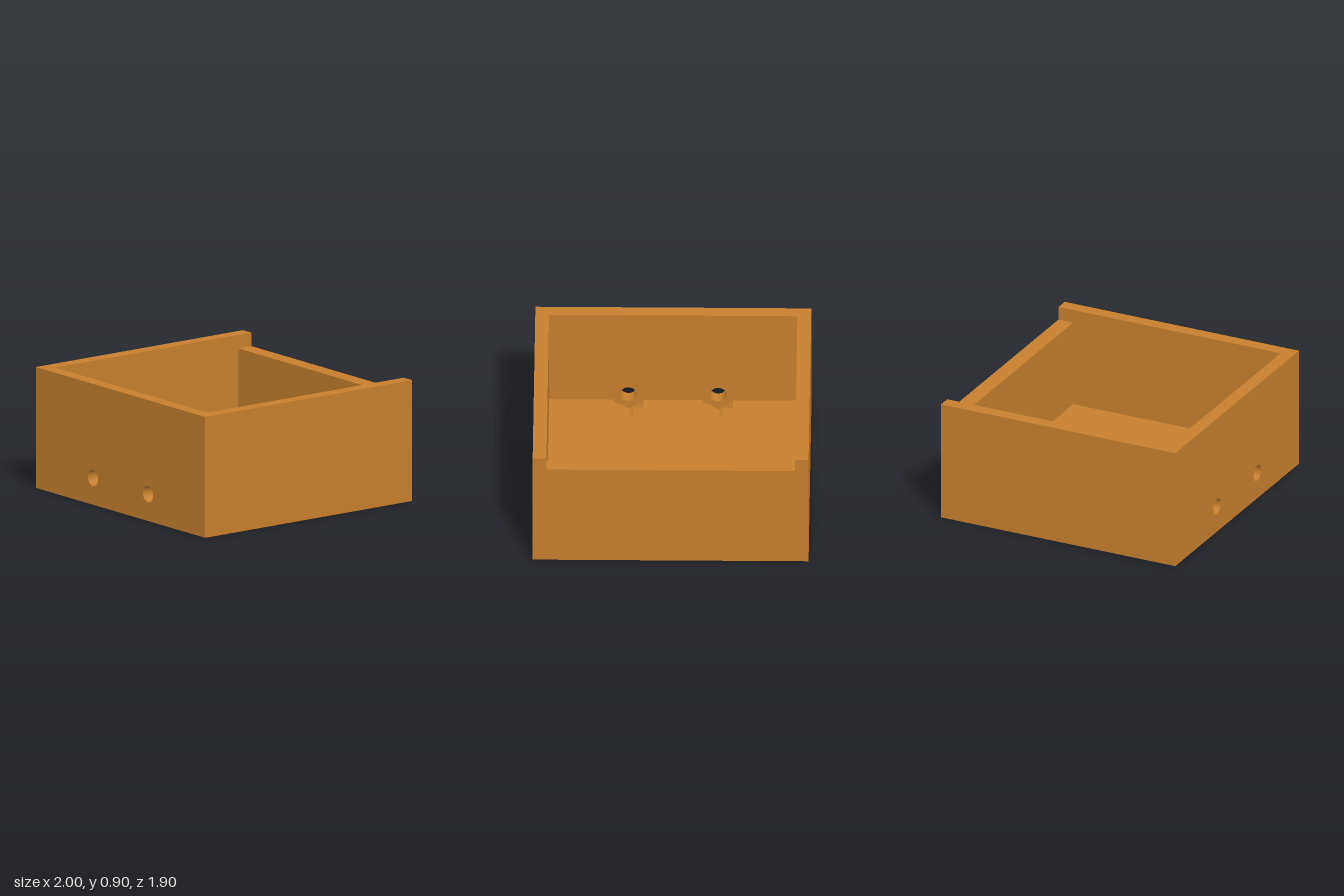
import * as THREE from 'three';

const HOLE_X = [-0.325, 0.325]; // screw positions
const HOLE_Y = 0.2, HOLE_R = 0.06, NUT_HALF = 0.11;
const FLOOR = 0.15, INNER = 0.9;

export function createModel() {
  const group = new THREE.Group();
  const wood = new THREE.MeshStandardMaterial({ color: 0xc67e2d });
  wood.name = 'orange brown';

  const add = (name, geometry) => {
    const mesh = new THREE.Mesh(geometry, wood);
    mesh.name = name;
    group.add(mesh);
  };
  const box = (name, x0, x1, y0, y1, z0, z1) => add(name,
    new THREE.BoxGeometry(x1 - x0, y1 - y0, z1 - z0)
      .translate((x0 + x1) / 2, (y0 + y1) / 2, (z0 + z1) / 2));
  const extrude = (name, shape, z0, z1) => add(name,
    new THREE.ExtrudeGeometry(shape, { depth: z1 - z0, bevelEnabled: false, curveSegments: 32 })
      .translate(0, 0, z0));

  // Side walls, and the lower back wall between them
  box('leftWall', INNER, 1, 0, 0.9, -0.95, 0.95);
  box('rightWall', -1, -INNER, 0, 0.9, -0.95, 0.95);
  box('backWall', -INNER, INNER, 0, 0.8, -0.95, -0.83);

  // Front wall with two round screw holes
  const front = new THREE.Shape();
  front.moveTo(-INNER, 0).lineTo(INNER, 0).lineTo(INNER, 0.9).lineTo(-INNER, 0.9).closePath();
  for (const x of HOLE_X) {
    front.holes.push(new THREE.Path().absarc(x, HOLE_Y, HOLE_R, 0, Math.PI * 2, true));
  }
  extrude('frontWall', front, 0.85, 0.95);

  // Floor cross-section with a notch (offsets from the hole centre, right to left) at each hole
  const floorSection = (notch) => {
    const shape = new THREE.Shape();
    shape.moveTo(-INNER, 0).lineTo(INNER, 0).lineTo(INNER, FLOOR);
    for (const x of [...HOLE_X].reverse()) {
      for (const [dx, y] of notch) shape.lineTo(x + dx, y);
    }
    shape.lineTo(-INNER, FLOOR).closePath();
    return shape;
  };

  // Shallow round groove left by the screw tip
  const half = Math.acos((HOLE_Y - FLOOR) / HOLE_R);
  const groove = [];
  for (let i = 0; i <= 8; i++) {
    const a = half * (1 - i / 4);
    groove.push([HOLE_R * Math.sin(a), HOLE_Y - HOLE_R * Math.cos(a)]);
  }

  // Lower half of a hexagonal nut pocket, point down
  const hexR = NUT_HALF / Math.cos(Math.PI / 6);
  const pocket = [
    [NUT_HALF, FLOOR], [NUT_HALF, HOLE_Y - hexR / 2], [0, HOLE_Y - hexR],
    [-NUT_HALF, HOLE_Y - hexR / 2], [-NUT_HALF, FLOOR],
  ];

  box('floor', -INNER, INNER, 0, FLOOR, -0.83, 0.65);
  extrude('floorWithScrewGrooves', floorSection(groove), 0.65, 0.75);
  extrude('floorWithNutPockets', floorSection(pocket), 0.75, 0.85);

  return group;
}
